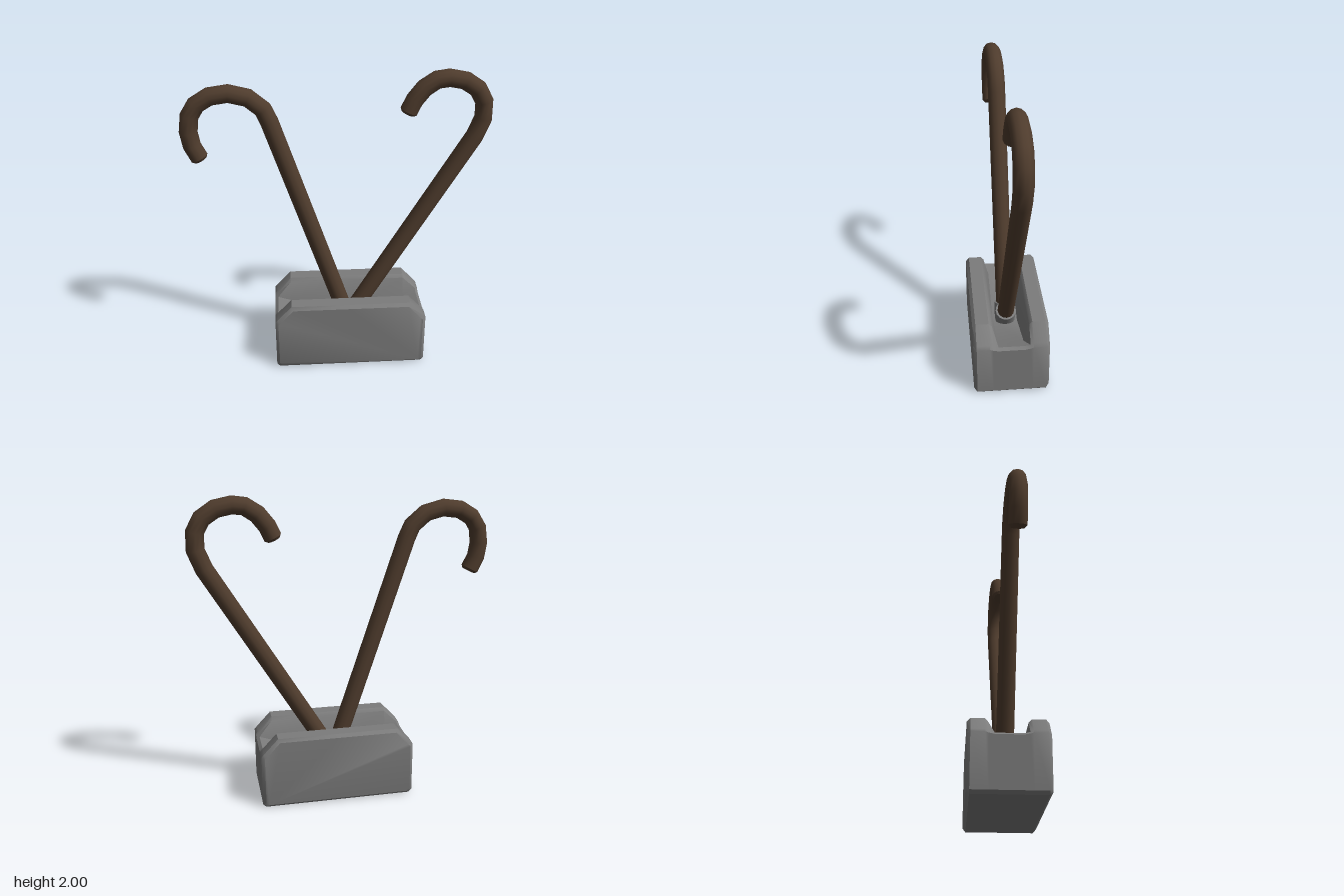
import * as THREE from 'three';
import { toCreasedNormals } from 'three/addons/utils/BufferGeometryUtils.js';

const stone = new THREE.MeshStandardMaterial({ color: 0x7c7c7c });
const wood = new THREE.MeshStandardMaterial({ color: 0x4f3c2d });

// Mirrors the left half of a lengthwise profile into a full counterclockwise loop
function mirrorProfile(half, middle) {
  const right = half.map(([u, y]) => [-u, y]);
  return [...right, middle, ...half.slice().reverse()];
}

// Block with chamfered ends, bevelled edges and a sloping slot along the top
function baseGeometry() {
  const solid = (inset, drop) => mirrorProfile([
    [-0.485 + inset, inset], [-0.505 + inset, 0.02 + inset], [-0.505 + inset, 0.36 - drop * 0.4],
    [-0.488 + inset, 0.38 - drop * 0.6], [-0.395 + inset * 0.5, 0.48 - drop],
  ], [0, 0.48 - drop]);
  const slot = mirrorProfile(
    [[-0.485, 0], [-0.505, 0.02], [-0.505, 0.345], [-0.485, 0.36], [-0.395, 0.33]], [0, 0.2]);
  const half = [
    [0.245, solid(0.02, 0.02)], [0.225, solid(0, 0)],
    [0.14, solid(0, 0)], [0.12, solid(0, 0.02)], [0.085, slot],
  ];
  const stations = [...half.map(([w, p]) => [-w, p]), ...half.slice().reverse()];
  const pos = [];
  const put = (i, j) => {
    const [w, p] = stations[i];
    const [u, y] = p[j % p.length];
    pos.push(u, y, w);
  };
  const n = slot.length;
  const last = stations.length - 1;
  for (let i = 0; i < last; i++) {
    for (let j = 0; j < n; j++) {
      put(i, j); put(i, j + 1); put(i + 1, j + 1);
      put(i, j); put(i + 1, j + 1); put(i + 1, j);
    }
  }
  // Flat long sides
  for (let j = 1; j < n - 1; j++) {
    put(last, 0); put(last, j); put(last, j + 1);
    put(0, 0); put(0, j + 1); put(0, j);
  }
  const g = new THREE.BufferGeometry();
  g.setAttribute('position', new THREE.Float32BufferAttribute(pos, 3));
  return toCreasedNormals(g, 0.74);
}

// Path that a tube follows from corner to corner, giving the hook its facets
class CornerPath extends THREE.Curve {
  constructor(points) {
    super();
    this.points = points;
  }

  getPointAt(t) {
    return this.points[Math.round(t * (this.points.length - 1))].clone();
  }

  getTangentAt(t) {
    const p = this.points;
    const i = Math.round(t * (p.length - 1));
    const here = p[i];
    const before = i > 0 ? here.clone().sub(p[i - 1]).normalize() : new THREE.Vector3();
    const after = i < p.length - 1 ? p[i + 1].clone().sub(here).normalize() : new THREE.Vector3();
    return before.add(after).normalize();
  }
}

// Hooked stick in the x-y plane; the plane is turned afterwards
function makeCane(name, points) {
  const group = new THREE.Group();
  group.name = name;
  const r = 0.057;
  const up = new THREE.Vector3(0, 1, 0);
  const path = points.map(([x, y]) => new THREE.Vector3((x - 0.06) / Math.cos(0.55), y, 0));
  const curve = new CornerPath(path);
  const stick = new THREE.Mesh(new THREE.TubeGeometry(curve, path.length - 1, r, 12), wood);
  stick.name = 'stick';
  group.add(stick);

  // Bevelled tip
  const tipDir = curve.getTangentAt(1);
  const tipShape = toCreasedNormals(new THREE.CylinderGeometry(r * 0.75, r, 0.016, 12), 0.6);
  const tip = new THREE.Mesh(tipShape, wood);
  tip.name = 'tip';
  tip.position.copy(path[path.length - 1]).addScaledVector(tipDir, 0.008);
  tip.quaternion.setFromUnitVectors(up, tipDir);
  group.add(tip);

  // Collar in the slot
  const footDir = curve.getTangentAt(0);
  const collar = new THREE.Mesh(new THREE.CylinderGeometry(0.07, 0.07, 0.12, 16), stone);
  collar.name = 'collar';
  collar.position.copy(path[0]).addScaledVector(footDir, 0.03);
  collar.quaternion.setFromUnitVectors(up, footDir);
  group.add(collar);
  return group;
}

export function createModel() {
  const model = new THREE.Group();
  model.name = 'hookStand';

  const base = new THREE.Mesh(baseGeometry(), stone);
  base.name = 'base';
  base.rotation.y = -0.57;
  base.position.set(0.06, 0, 0.036);
  model.add(base);

  const canes = new THREE.Group();
  canes.name = 'canes';
  canes.rotation.y = -0.55;
  canes.position.set(0.06, 0, 0.035);
  canes.add(
    makeCane('rightCane', [
      [0.05, 0.25], [-0.36, 1.70], [-0.39, 1.78], [-0.465, 1.855], [-0.565, 1.885], [-0.66, 1.87],
      [-0.73, 1.82], [-0.768, 1.75], [-0.78, 1.65], [-0.768, 1.56], [-0.735, 1.48],
    ]),
    makeCane('leftCane', [
      [0.067, 0.25], [0.735, 1.56], [0.775, 1.68], [0.773, 1.79], [0.735, 1.87], [0.665, 1.925],
      [0.58, 1.945], [0.515, 1.935], [0.45, 1.885], [0.40, 1.81], [0.373, 1.74],
    ]),
  );
  model.add(canes);
  return model;
}
